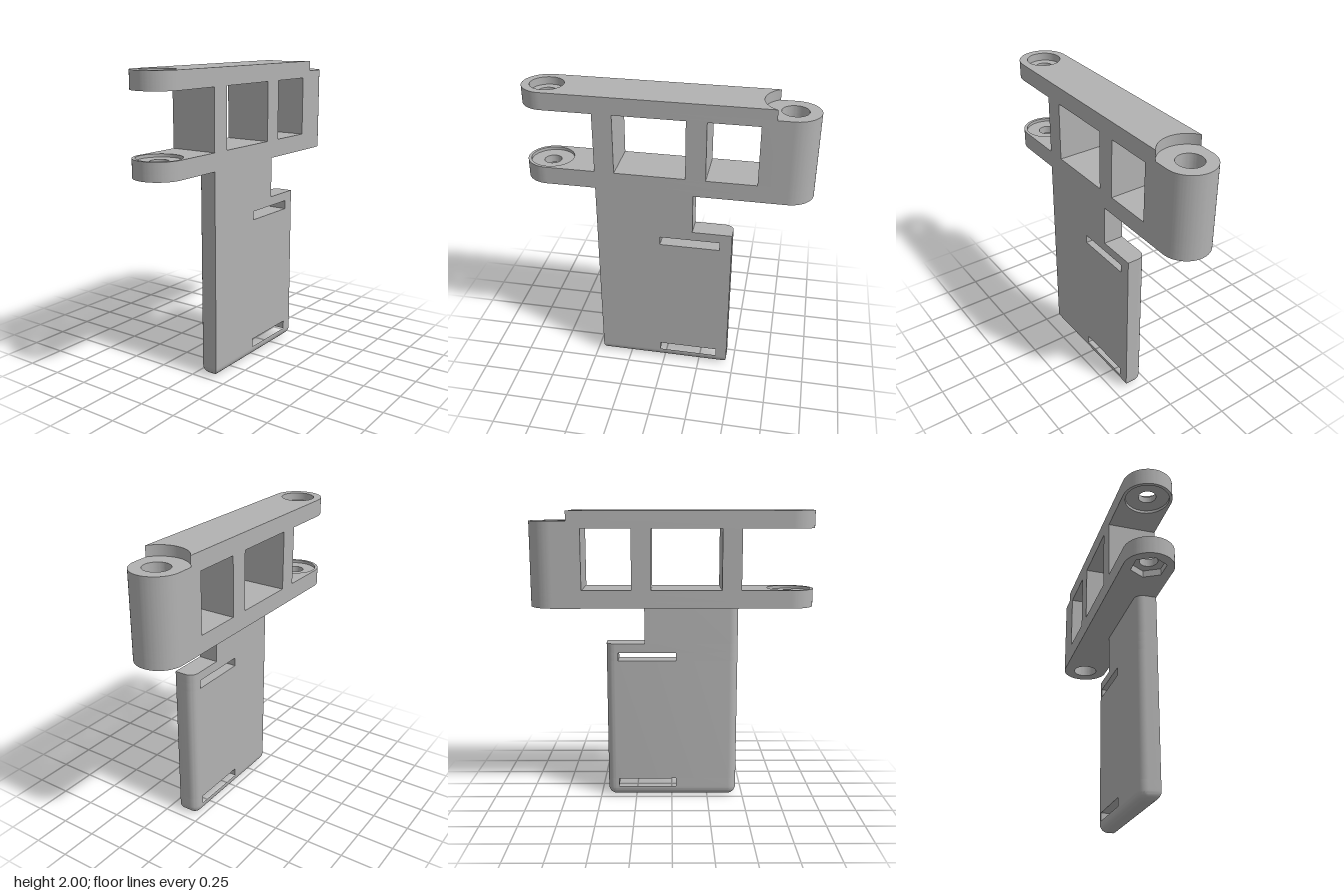
import * as THREE from 'three';
import { toCreasedNormals } from 'three/addons/utils/BufferGeometryUtils.js';

const R = 0.162;      // half width of the arm
const ZC = 0.78;      // distance of both pivot centres from the middle
const PX0 = 0.025, PX1 = R, PZ0 = -0.45, PZ1 = 0.455; // blade limits
const FILLET = 0.058;

// Shapes are drawn in plan: shape x = x, shape y = -z.
function slab(shape, y0, y1) {
  const geo = new THREE.ExtrudeGeometry(shape, { depth: y1 - y0, bevelEnabled: false, curveSegments: 32 });
  geo.rotateX(-Math.PI / 2).translate(0, y0, 0);
  return toCreasedNormals(geo, 0.5);
}

function circle(z, r) {
  return new THREE.Path().absarc(0, -z, r, 0, Math.PI * 2, true);
}

function hexagon(z, r) {
  const pts = [];
  for (let i = 0; i < 6; i++) {
    const a = Math.PI / 2 - i * Math.PI / 3;
    pts.push(new THREE.Vector2(r * Math.cos(a), -z + r * Math.sin(a)));
  }
  return new THREE.Path(pts);
}

// Arm outline: round front, rear either round or scooped around the rear pivot
function armShape(scooped, holes) {
  const s = new THREE.Shape();
  s.absarc(0, -ZC, R, Math.PI, Math.PI * 2, false);
  if (scooped) {
    const a = Math.acos(R / 0.19);
    s.absarc(0, ZC, 0.19, -a, -Math.PI + a, true);
  } else {
    s.absarc(0, ZC, R, 0, Math.PI, false);
  }
  s.closePath();
  s.holes.push(...holes);
  return s;
}

// Blade outline with rounded inner corners, shrunk by inset
function bladePoints(z0, z1, roundBack = true, roundFront = true, inset = 0) {
  const x0 = PX0 + inset, x1 = PX1 - inset, vb = -z0 - inset, vf = -z1 + inset;
  const r = FILLET - inset, pts = [[x1, vf], [x1, vb]];
  const corner = (round, cv, v, start) => {
    if (!round) { pts.push([x0, v]); return; }
    for (let i = 0; i <= 10; i++) {
      const a = start + (i / 10) * Math.PI / 2;
      pts.push([x0 + r + r * Math.cos(a), cv + r * Math.sin(a)]);
    }
  };
  corner(roundBack, vb - r, vb, Math.PI / 2);
  corner(roundFront, vf + r, vf, Math.PI);
  return pts.map(p => new THREE.Vector2(p[0], p[1]));
}

// Rounded bottom of the blade, lofted from shrinking outlines
function bladeFoot(top) {
  const rings = [];
  for (let i = 0; i <= 10; i++) {
    const t = 0.01 + (i / 10) * (Math.PI / 2 - 0.01);
    rings.push([FILLET * (1 - Math.cos(t)), FILLET * (1 - Math.sin(t))]);
  }
  rings.push([top, 0]);
  const pos = [], idx = [];
  let n = 0;
  for (const [y, inset] of rings) {
    const pts = bladePoints(PZ0, PZ1, true, true, inset);
    n = pts.length;
    pts.forEach(p => pos.push(p.x, y, -p.y));
  }
  for (let k = 0; k < rings.length - 1; k++) {
    for (let j = 0; j < n; j++) {
      const a = k * n + j, b = k * n + (j + 1) % n;
      idx.push(a, b, b + n, a, b + n, a + n);
    }
  }
  for (let j = 1; j < n - 1; j++) idx.push(0, j + 1, j);
  const geo = new THREE.BufferGeometry();
  geo.setAttribute('position', new THREE.Float32BufferAttribute(pos, 3));
  geo.setIndex(idx);
  return toCreasedNormals(geo, 0.5);
}

export function createModel() {
  const model = new THREE.Group();
  model.name = 'hingeBracket';
  const grey = new THREE.MeshStandardMaterial({ color: 0xb2b2b2 });
  grey.name = 'plainGrey';

  const group = name => {
    const g = new THREE.Group();
    g.name = name;
    model.add(g);
    return g;
  };
  const add = (parent, name, geo) => {
    const m = new THREE.Mesh(geo, grey);
    m.name = name;
    parent.add(m);
  };

  const rear = () => circle(-ZC, 0.085);
  const bolt = () => circle(ZC, 0.057);

  // Lower arm: nut pocket below, bolt hole, shallow washer seat above
  const lower = group('lowerArm');
  add(lower, 'nutPocketLayer', slab(armShape(false, [rear(), hexagon(ZC, 0.115)]), 1.37, 1.415));
  add(lower, 'boltHoleLayer', slab(armShape(false, [rear(), bolt()]), 1.415, 1.468));
  add(lower, 'washerSeatLayer', slab(armShape(false, [rear(), circle(ZC, 0.142)]), 1.468, 1.488));

  // Upper arm: washer seat below, bolt hole, bolt head pocket on top
  const upper = group('upperArm');
  add(upper, 'washerSeatLayer', slab(armShape(false, [rear(), circle(ZC, 0.142)]), 1.885, 1.905));
  add(upper, 'boltHoleLayer', slab(armShape(false, [rear(), bolt()]), 1.905, 1.932));
  add(upper, 'scoopedLayer', slab(armShape(true, [bolt()]), 1.932, 1.95));
  add(upper, 'boltHeadPocketLayer', slab(armShape(true, [circle(ZC, 0.11)]), 1.95, 2));

  // Uprights between the arms
  const uprights = group('uprights');
  for (const [name, z0, z1] of [['frontPost', 0.327, 0.455], ['middlePost', -0.265, -0.135]]) {
    const box = new THREE.BoxGeometry(2 * R, 0.397, z1 - z0);
    box.translate(0, 1.6865, (z0 + z1) / 2);
    add(uprights, name, box);
  }
  const barrel = new THREE.Shape();
  barrel.moveTo(-R, 0.59);
  barrel.lineTo(R, 0.59);
  barrel.absarc(0, ZC, R, 0, Math.PI, false);
  barrel.closePath();
  barrel.holes.push(rear());
  add(uprights, 'rearPivotBarrel', slab(barrel, 1.488, 1.885));

  // Hanging blade with two strap slots and a notched rear top corner
  const blade = group('blade');
  add(blade, 'bladeFoot', bladeFoot(0.07));
  const layers = [
    ['lowerSlotFront', 0.03, PZ1, false, true, 0.07, 0.127],
    ['lowerSlotRear', PZ0, -0.373, true, false, 0.07, 0.127],
    ['bladeBody', PZ0, PZ1, true, true, 0.127, 0.98],
    ['upperSlotFront', 0.03, PZ1, false, true, 0.98, 1.038],
    ['upperSlotRear', PZ0, -0.37, true, false, 0.98, 1.038],
    ['bladeShoulder', PZ0, PZ1, true, true, 1.038, 1.1],
    ['bladeNeck', -0.187, PZ1, false, true, 1.1, 1.37],
  ];
  for (const [name, z0, z1, rb, rf, y0, y1] of layers) {
    add(blade, name, slab(new THREE.Shape(bladePoints(z0, z1, rb, rf)), y0, y1));
  }
  return model;
}
